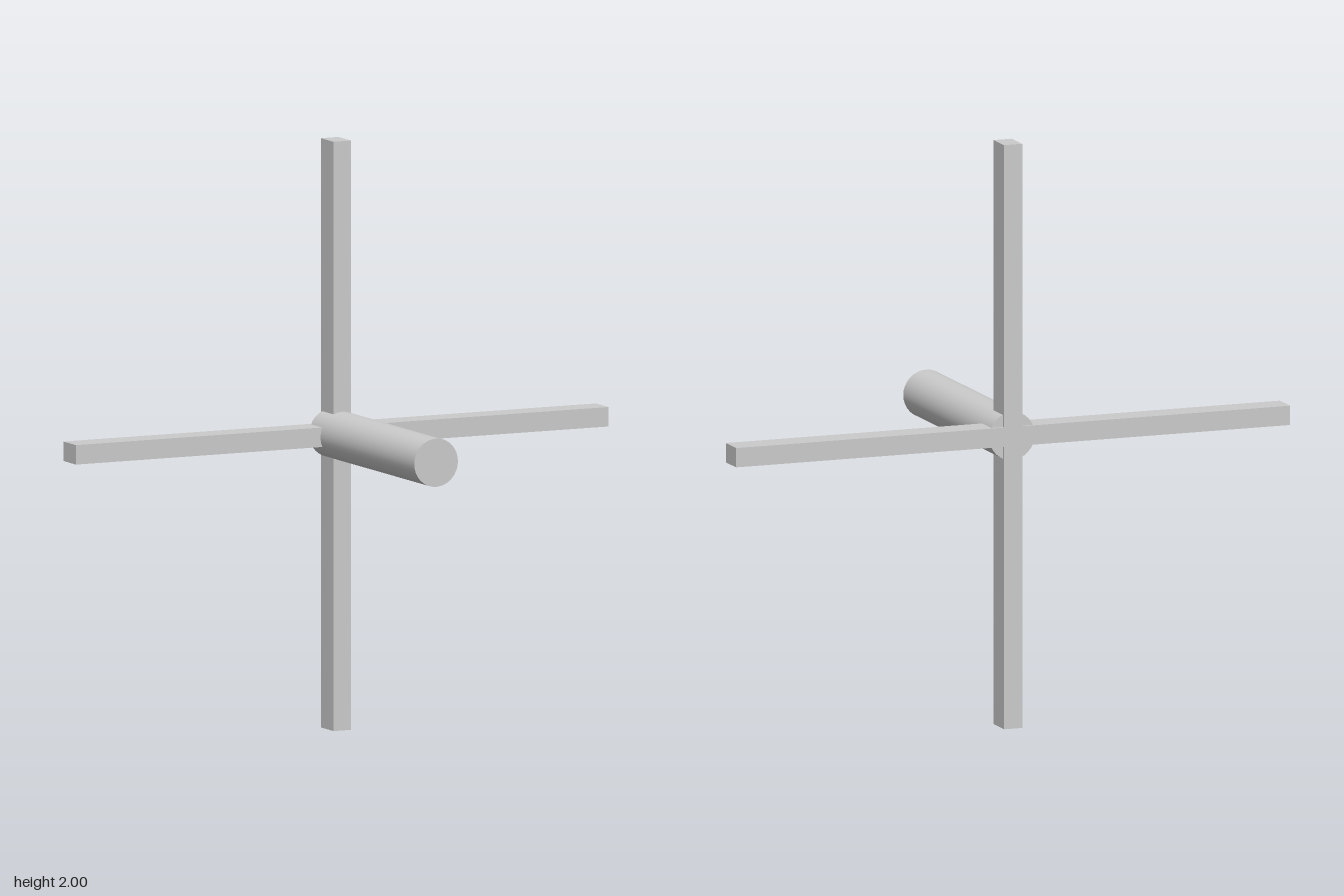
import * as THREE from 'three';

export function createModel() {
  const group = new THREE.Group();
  const material = new THREE.MeshStandardMaterial({ color: 0xcccccc });
  const hubY = 1;

  // Four square-ended arms as one plus-shaped extrusion
  const reach = 1, half = 0.033, backZ = -0.4, armDepth = 0.095;
  const corners = [];
  for (let i = 0; i < 4; i++) {
    const centre = new THREE.Vector2();
    for (const [x, y] of [[reach, -half], [reach, half], [half, half]]) {
      corners.push(new THREE.Vector2(x, y).rotateAround(centre, i * Math.PI / 2));
    }
  }
  const arms = new THREE.Mesh(
    new THREE.ExtrudeGeometry(new THREE.Shape(corners), { depth: armDepth, bevelEnabled: false }),
    material
  );
  arms.name = 'crossArms';
  arms.position.set(0, hubY, backZ);
  group.add(arms);

  // Round shaft running forward from just inside the back of the arms
  const shaftBack = -0.39, shaftFront = 0.4;
  const shaft = new THREE.Mesh(
    new THREE.CylinderGeometry(0.082, 0.082, shaftFront - shaftBack, 32).rotateX(Math.PI / 2),
    material
  );
  shaft.name = 'shaft';
  shaft.position.set(0, hubY, (shaftFront + shaftBack) / 2);
  group.add(shaft);

  return group;
}
